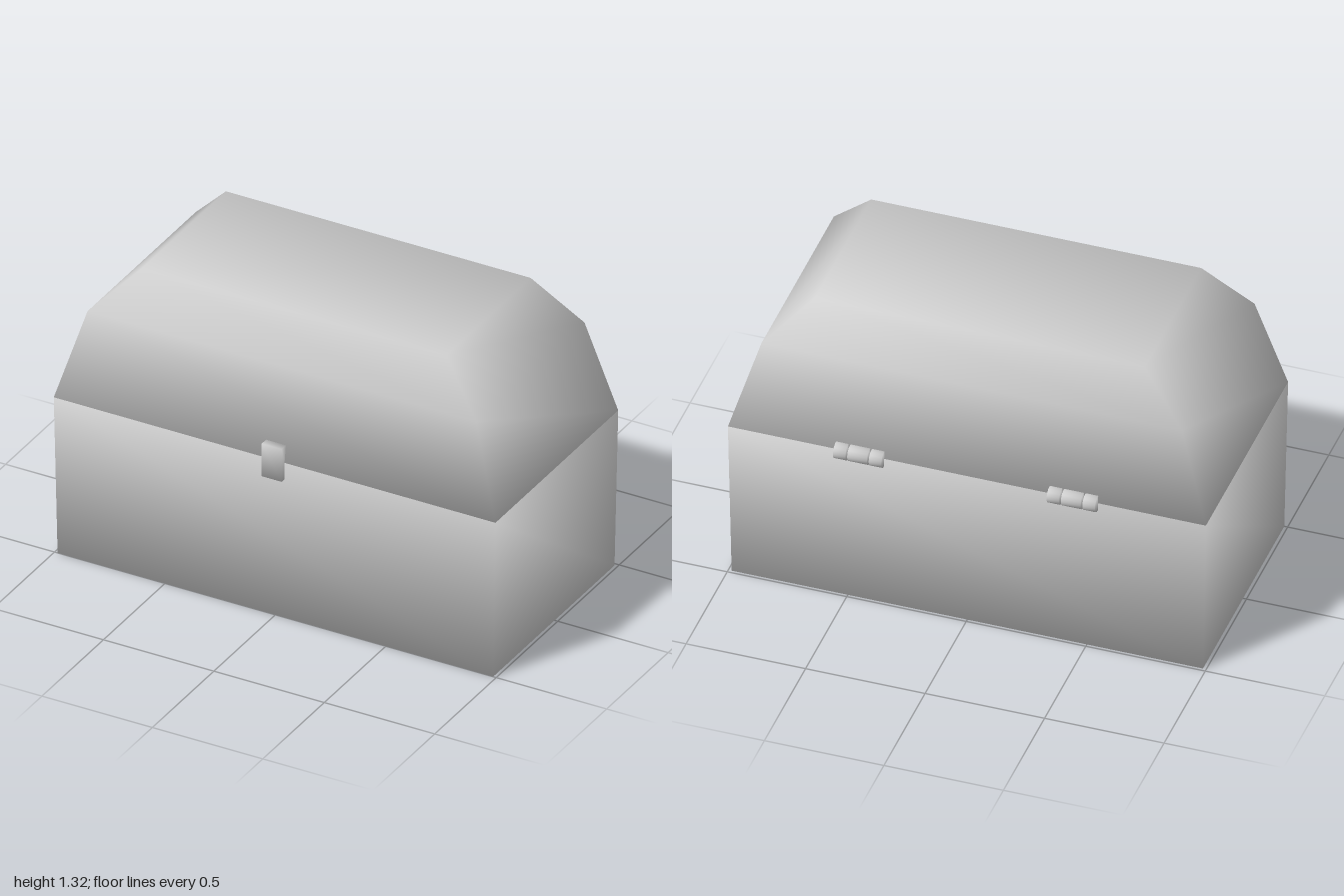
import * as THREE from 'three';

// Closed solid through a stack of matching rings; every corner is shared and softly shaded.
function loft(rings) {
  const n = rings[0].length;
  const points = rings.flat();
  const ids = [...Array(n).keys()];
  const last = (rings.length - 1) * n;
  const faces = [ids, ids.map((i) => last + n - 1 - i)]; // bottom and top caps
  for (let r = 0; r < rings.length - 1; r++) {
    for (let j = 0; j < n; j++) {
      const k = (j + 1) % n, a = r * n, b = a + n;
      faces.push([a + j, b + j, b + k, a + k]);
    }
  }
  // Corner normals are the plain average of the touching faces
  const normals = points.map(() => new THREE.Vector3());
  const index = [];
  const normal = new THREE.Vector3();
  for (const f of faces) {
    THREE.Triangle.getNormal(points[f[0]], points[f[1]], points[f[2]], normal);
    f.forEach((i) => normals[i].add(normal));
    for (let i = 1; i < f.length - 1; i++) index.push(f[0], f[i], f[i + 1]);
  }
  normals.forEach((v) => v.normalize());
  const geometry = new THREE.BufferGeometry().setFromPoints(points);
  geometry.setAttribute('normal', new THREE.Float32BufferAttribute(normals.flatMap((v) => v.toArray()), 3));
  geometry.setIndex(index);
  return geometry;
}

// Rectangular ring: half width x, height y, back and front z
const rect = (x, y, back, front) => [[x, front], [-x, front], [-x, back], [x, back]]
  .map(([px, pz]) => new THREE.Vector3(px, y, pz));

// Round ring of radius r at height y
const circle = (r, y, sides = 16) => Array.from({ length: sides }, (_, i) => {
  const t = (i / sides) * Math.PI * 2;
  return new THREE.Vector3(r * Math.cos(t), y, r * Math.sin(t));
});

export function createModel() {
  const group = new THREE.Group();
  const grey = new THREE.MeshStandardMaterial({ color: 0xcccccc });
  grey.name = 'grey';

  const add = (name, geometry, parent = group) => {
    const mesh = new THREE.Mesh(geometry, grey);
    mesh.name = name;
    parent.add(mesh);
    return mesh;
  };

  // Chest body, slightly narrower at the foot
  add('body', loft([rect(0.986, 0, -0.487, 0.5), rect(1, 0.715, -0.492, 0.506)]));

  // Faceted lid
  add('lid', loft([
    rect(1, 0.715, -0.492, 0.506),
    rect(0.88, 1.115, -0.433, 0.447),
    rect(0.69, 1.315, -0.337, 0.35),
  ]));

  // Front latch plate
  add('latch', loft([rect(0.045, 0.64, 0.485, 0.53), rect(0.045, 0.79, 0.485, 0.53)]));

  // Two hinges, each of three knuckles
  for (const side of [-1, 1]) {
    const hinge = new THREE.Group();
    hinge.name = side > 0 ? 'leftHinge' : 'rightHinge';
    hinge.position.set(side * 0.447, 0.715, -0.495);
    for (const [x, half] of [[-0.075, 0.026], [0, 0.041], [0.075, 0.026]]) {
      const knuckle = add('hingeKnuckle', loft([circle(0.035, -half), circle(0.035, half)]), hinge);
      knuckle.rotation.z = Math.PI / 2;
      knuckle.position.x = x;
    }
    group.add(hinge);
  }
  return group;
}
